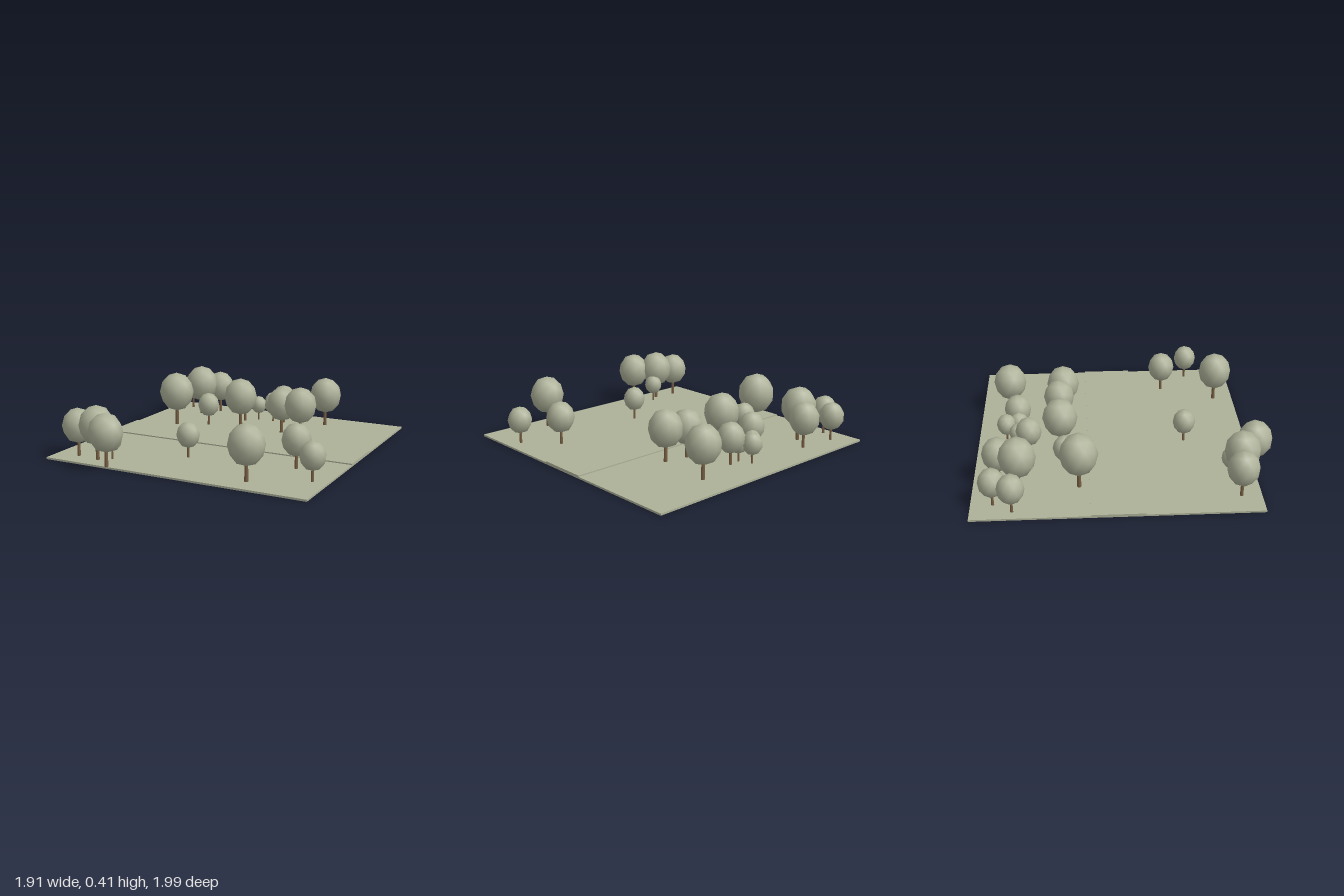
import * as THREE from 'three';

// x, z and crown radius of every tree
const TREES = [
  [-0.785, -0.855, 0.088], [-0.865, -0.73, 0.09], [-0.515, -0.83, 0.105],
  [-0.615, -0.697, 0.124], [-0.03, -0.8, 0.068], [-0.118, -0.718, 0.06],
  [-0.198, -0.638, 0.09], [0.008, -0.715, 0.066], [0.093, -0.723, 0.094],
  [0.41, -0.79, 0.118], [-0.615, -0.3, 0.129], [-0.388, -0.392, 0.08],
  [-0.13, -0.422, 0.122], [0.205, -0.43, 0.109], [0.367, -0.4, 0.117],
  [0.658, 0.352, 0.098], [0.854, 0.558, 0.084], [-0.088, 0.446, 0.079],
  [0.492, 0.742, 0.12], [-0.765, 0.75, 0.107], [-0.597, 0.771, 0.12],
  [-0.518, 0.715, 0.066], [-0.452, 0.878, 0.116],
];
const GROUND_TOP = 0.013;

export function createModel() {
  const model = new THREE.Group();
  const mat = (name, color) => new THREE.MeshStandardMaterial({ name, color });
  const grass = mat('sage ground', 0xadb198);
  const leaves = mat('sage foliage', 0xadb198);
  const bark = mat('brown bark', 0x7a6145);

  // Flat ground slab and the slightly raised band across it
  const slab = (name, z0, z1, y0, y1) => {
    const mesh = new THREE.Mesh(new THREE.BoxGeometry(1.89, y1 - y0, z1 - z0), grass);
    mesh.name = name;
    mesh.position.set(0.008, (y0 + y1) / 2, (z0 + z1) / 2);
    model.add(mesh);
  };
  slab('ground', -1, 0.885, 0, GROUND_TOP);
  slab('raisedBand', -0.233, 0.117, GROUND_TOP, 0.021);

  // Unit tree parts, scaled by crown radius
  const crownShape = new THREE.IcosahedronGeometry(1, 1);
  const trunkShape = new THREE.CylinderGeometry(0.085, 0.11, 1.4, 6).translate(0, 0.7, 0);

  for (const [x, z, r] of TREES) {
    const tree = new THREE.Group();
    tree.name = 'tree';
    tree.position.set(x, GROUND_TOP, z);
    tree.scale.setScalar(r);
    const trunk = new THREE.Mesh(trunkShape, bark);
    trunk.name = 'trunk';
    const crown = new THREE.Mesh(crownShape, leaves);
    crown.name = 'crown';
    crown.position.y = 1.97;
    crown.scale.y = 1.14;
    tree.add(trunk, crown);
    model.add(tree);
  }
  return model;
}
